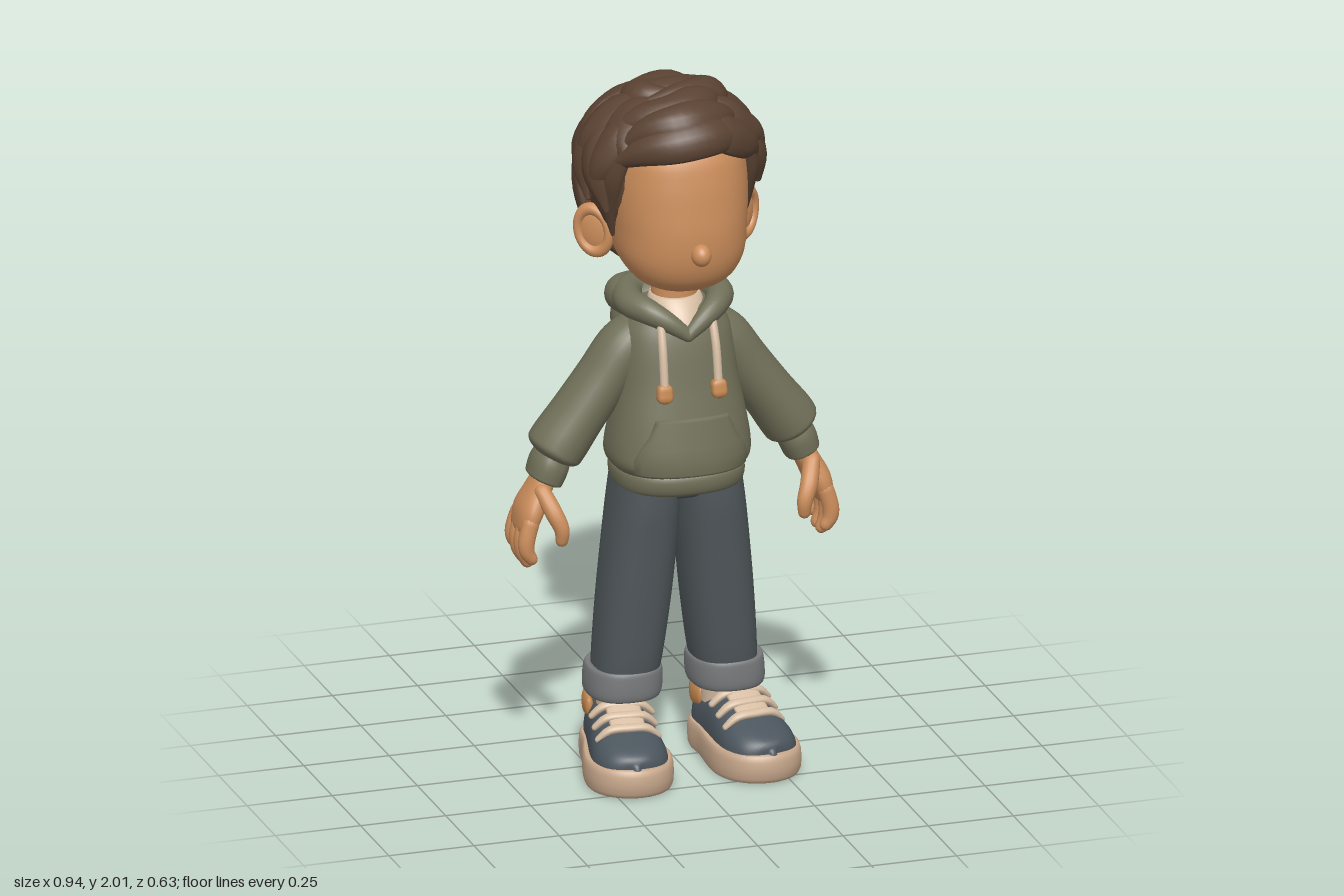
import * as THREE from 'three';

const mat = (name, color) => Object.assign(new THREE.MeshStandardMaterial({ color }), { name });
const M = {
  skin: mat('skin', 0xcc8e5c), hair: mat('hair brown', 0x5b4333), hoodie: mat('olive fleece', 0x717059),
  jeans: mat('denim', 0x50575b), turnUp: mat('turned denim', 0x77797a), shoe: mat('blue canvas', 0x4b555d),
  sole: mat('sole tan', 0xc8a88c), cream: mat('cream', 0xd6bda3), leather: mat('leather', 0xc48850),
};
const V = (x, y, z) => new THREE.Vector3(x, y, z);
const UP = V(0, 1, 0), FRONT = V(0, 0, 1);

// smooth interpolation of table rows, t in 0..1
function sample(rows, t) {
  const n = rows.length - 1, i = Math.min(Math.floor(t * n), n - 1), f = t * n - i;
  const r = k => rows[Math.max(0, Math.min(n, k))];
  return r(i).map((b, c) => {
    const a = r(i - 1)[c], d = r(i + 1)[c], e = r(i + 2)[c];
    return b + 0.5 * f * (d - a + f * (2 * a - 5 * b + 4 * d - e + f * (3 * (b - d) + e - a)));
  });
}

// closed smooth surface through rings of points, with capped ends
function skin(rings) {
  const n = rings[0].length, last = (rings.length - 1) * n, pos = [], idx = [];
  rings.forEach(r => r.forEach(p => pos.push(p.x, p.y, p.z)));
  for (const r of [rings[0], rings[rings.length - 1]]) {
    const c = r.reduce((s, p) => s.add(p), V(0, 0, 0)).divideScalar(n);
    pos.push(c.x, c.y, c.z);
  }
  for (let j = 0; j < n; j++) {
    const k = (j + 1) % n;
    for (let i = 0; i < last; i += n) idx.push(i + j, i + k, i + n + k, i + j, i + n + k, i + n + j);
    idx.push(last + n, k, j, last + n + 1, last + j, last + k);
  }
  const g = new THREE.BufferGeometry();
  g.setAttribute('position', new THREE.Float32BufferAttribute(pos, 3));
  g.setIndex(idx);
  g.computeVertexNormals();
  return g;
}
const sgnPow = (v, e) => Math.sign(v) * Math.abs(v) ** e;

// upright form; rows are [y, half width, front z, back z, centre x]
function loft(rows, p = 2.2, steps = 28, n = 40) {
  const rings = [];
  for (let i = 0; i <= steps; i++) {
    const [y, w, zf, zb, cx] = sample(rows, i / steps);
    rings.push(Array.from({ length: n }, (_, j) => {
      const a = j / n * Math.PI * 2;
      return V(cx + w * sgnPow(Math.sin(a), 2 / p), y, (zf + zb) / 2 + (zf - zb) / 2 * sgnPow(Math.cos(a), 2 / p));
    }));
  }
  return skin(rings);
}

// round-ended sweep; points are [x, y, z, side radius, ref radius]
function sweep(points, ref = FRONT, steps = 16, n = 14, p = 2) {
  const s = Array.from({ length: steps + 1 }, (_, i) => sample(points, i / steps));
  const P = s.map(r => V(r[0], r[1], r[2])), rings = [];
  const ring = (i, phi) => {
    const T = P[Math.min(i + 1, steps)].clone().sub(P[Math.max(i - 1, 0)]).normalize();
    const N = typeof ref === 'function' ? ref(P[i]) : ref;
    const A = N.clone().cross(T).normalize(), B = T.clone().cross(A);
    const ra = Math.max(s[i][3], 0.002), rb = Math.max(s[i][4], 0.002), c = Math.cos(phi);
    const o = P[i].clone().addScaledVector(T, Math.min(ra, rb) * Math.sin(phi));
    rings.push(Array.from({ length: n }, (_, j) => {
      const a = j / n * Math.PI * 2;
      return o.clone().addScaledVector(A, ra * c * sgnPow(Math.cos(a), 2 / p))
        .addScaledVector(B, rb * c * sgnPow(Math.sin(a), 2 / p));
    }));
  };
  for (const f of [-1.35, -0.9, -0.45]) ring(0, f);
  for (let i = 0; i <= steps; i++) ring(i, 0);
  for (const f of [0.45, 0.9, 1.35]) ring(steps, f);
  return skin(rings);
}
function mirror(geo) {
  const g = geo.clone().scale(-1, 1, 1), a = g.index.array;
  for (let i = 0; i < a.length; i += 3) [a[i], a[i + 1]] = [a[i + 1], a[i]];
  return g;
}
const flipX = pts => pts.map(([x, ...r]) => [-x, ...r]);
const acrossX = pts => [...pts, ...flipX(pts).reverse().slice(1)];
const ball = (x, y, z, a, b, c) => new THREE.SphereGeometry(1, 28, 20).scale(a, b, c).translate(x, y, z);
// change the height of every vertex by a rule
function reshapeY(g, rule) {
  const p = g.attributes.position;
  for (let i = 0; i < p.count; i++) p.setY(i, rule(p.getY(i)));
  g.computeVertexNormals();
  return g;
}

export function createModel() {
  const root = new THREE.Group();
  root.name = 'boy';
  const add = (name, geo, m) => {
    const mesh = new THREE.Mesh(geo, m);
    mesh.name = name;
    root.add(mesh);
  };
  const pair = (name, geo, m) => { add(name + 'Left', geo, m); add(name + 'Right', mirror(geo), m); };

  // head, nose, neck
  add('head', loft([[1.432, .05, .12, -.04, 0], [1.445, .1, .17, -.07, 0], [1.48, .145, .215, -.09, 0], [1.54, .178, .24, -.14, 0],
    [1.62, .188, .247, -.18, 0], [1.7, .196, .24, -.21, 0], [1.78, .196, .228, -.22, 0], [1.85, .185, .207, -.21, 0],
    [1.91, .14, .15, -.17, 0], [1.945, .05, .05, -.08, 0]], 2.3, 36, 48), M.skin);
  add('nose', ball(0, 1.578, .25, .028, .032, .032), M.skin);
  add('neck', new THREE.CylinderGeometry(.062, .068, .2, 28).translate(0, 1.4, .01), M.skin);

  // ears with a raised rim
  const placeEar = g => g.rotateZ(-.2).rotateY(.72).translate(.222, 1.58, -.033);
  pair('ear', placeEar(ball(0, 0, -.01, .054, .07, .022)), M.skin);
  pair('earRim', placeEar(new THREE.TorusGeometry(.044, .013, 12, 32).scale(1.05, 1.42, 1.3)), M.skin);

  // hair: a cap with overlapping tapered locks
  const C = V(0, 1.75, -.04), out = p => p.clone().sub(C), D = Math.PI / 180;
  const scalp = (az, el, lift) => [.235 * lift * Math.cos(el * D) * Math.sin(az * D),
    1.75 + (el > 0 ? .21 : .28) * lift * Math.sin(el * D), -.04 + .243 * lift * Math.cos(el * D) * Math.cos(az * D)];
  add('hairCap', reshapeY(ball(0, 0, 0, .235, .21, .243), y => y < 0 ? y * 1.33 : y).translate(0, 1.75, -.04), M.hair);
  let seed = 11;
  const rnd = () => (seed = seed * 16807 % 2147483647) / 2147483647 - .5;
  const taper = [.45, .95, 1, .72, .1];
  // rows are [count, first azimuth, last azimuth, top, bottom, half width, drift]
  [[6, 130, 230, -15, -74, .056, 8], [8, 106, 254, 15, -48, .062, 14], [10, 78, 282, 45, -18, .066, 20],
    [8, 54, 306, 74, 14, .074, 34]].forEach(([count, a0, a1, e0, e1, w, drift], row) => {
    for (let i = 0; i < count; i++) {
      const az = a0 + (a1 - a0) * i / (count - 1) + rnd() * 12, dE = rnd() * 20, dA = drift * (1 + 2 * rnd()), flick = .07 + .04 * rnd();
      add('hairLock' + row + '_' + i, sweep(taper.map((k, j) => {
        const t = j / 4;
        return [...scalp(az + dA * (t * t - .5), e0 + (e1 + dE - e0) * t, 1 + flick * t), w * k, .032 * Math.sqrt(k)];
      }), out, 14, 14, 1.6), M.hair);
    }
  });
  // swept fringe and crown
  [[[.15, 1.87, .13], [.06, 1.905, .185], [-.05, 1.897, .193], [-.14, 1.865, .145], [-.21, 1.8, .07]],
    [[.15, 1.91, .06], [.07, 1.94, .13], [-.03, 1.945, .162], [-.12, 1.915, .125], [-.2, 1.83, .06]],
    [[.13, 1.94, -.02], [.06, 1.965, .06], [-.03, 1.955, .1], [-.13, 1.925, .06], [-.225, 1.83, -.02]],
    [[.12, 1.94, -.06], [.05, 1.955, -.07], [-.02, 1.955, -.07], [-.08, 1.94, -.1], [-.13, 1.9, -.16]],
    [[.03, 1.945, -.17], [.12, 1.94, -.09], [.1, 1.965, -.01], [0, 1.97, .02], [-.13, 1.93, -.01]],
    [[.12, 1.91, -.17], [.03, 1.945, -.16], [-.07, 1.95, -.1], [-.06, 1.965, -.03], [.04, 1.965, .01]],
    [[.02, 1.94, .13], [.08, 1.905, .165], [.14, 1.87, .135], [.19, 1.83, .09], [.215, 1.77, .06]],
    [[.06, 1.955, .03], [.13, 1.925, .06], [.18, 1.88, .05], [.225, 1.84, .03], [.25, 1.77, .03]],
    [[-.1, 1.92, .02], [-.16, 1.89, .05], [-.2, 1.84, .05], [-.23, 1.78, .04], [-.24, 1.7, .02]],
  ].forEach((path, i) => add('fringeLock' + i,
    sweep(path.map((q, j) => [...q, .058 * taper[j], .036 * Math.sqrt(taper[j])]), out, 18, 16, 1.75), M.hair));
  pair('sideburn', sweep([[.17, 1.85, .11, .02, .02], [.202, 1.77, .08, .035, .022], [.203, 1.68, .05, .03, .016],
    [.19, 1.59, .04, .006, .006]], out), M.hair);

  // hoodie body, hem and front pocket
  const torso = [[.885, .17, .185, -.13, 0], [.92, .2, .21, -.14, 0], [.97, .203, .2, -.125, 0], [1.05, .19, .185, -.105, 0],
    [1.15, .172, .163, -.1, 0], [1.25, .163, .143, -.1, 0], [1.31, .15, .125, -.1, 0], [1.36, .11, .1, -.09, 0], [1.38, .06, .06, -.06, 0]];
  add('hoodieBody', loft(torso, 2.4), M.hoodie);
  add('hoodieHem', loft([[.842, .165, .17, -.12, 0], [.845, .18, .192, -.137, 0], [.87, .187, .202, -.145, 0],
    [.897, .185, .2, -.142, 0], [.905, .17, .185, -.13, 0]], 2.4, 14, 48), M.hoodie);
  const frontZ = (x, y) => {
    const i = Math.max(0, torso.findIndex(r => r[0] > y) - 1), a = torso[i], b = torso[i + 1], f = (y - a[0]) / (b[0] - a[0]);
    const [w, zf, zb] = [1, 2, 3].map(k => a[k] + (b[k] - a[k]) * f);
    return (zf + zb) / 2 + (zf - zb) / 2 * (1 - Math.min(1, Math.abs(x) / w) ** 2.4) ** (1 / 2.4);
  };
  add('pocket', skin([[.905, .15], [.912, .162], [.95, .165], [.985, .148], [1.02, .125], [1.06, .108], [1.068, .104]].map(([y, w]) => {
    const us = Array.from({ length: 21 }, (_, i) => (i / 10 - 1) * w);
    return [...us.map(x => V(x, y, frontZ(x, y) + .012)), ...us.reverse().map(x => V(x, y, frontZ(x, y) - .015))];
  })), M.hoodie);

  // hood lying on the back, and the collar
  add('hoodBag', ball(0, 1.285, -.098, .148, .128, .108), M.hoodie);
  const fold = (name, pts, steps) => add(name, sweep(acrossX(pts), UP, steps, 18), M.hoodie);
  fold('hoodFold', [[.13, 1.365, 0, .035, .04], [.128, 1.36, -.09, .042, .048], [.078, 1.345, -.145, .046, .055], [0, 1.335, -.165, .048, .058]], 36);
  fold('hoodCollar', [[0, 1.298, .135, .018, .018], [.05, 1.335, .118, .027, .028], [.1, 1.362, .08, .035, .036], [.13, 1.37, .01, .042, .04],
    [.11, 1.375, -.07, .042, .04], [.06, 1.375, -.11, .042, .04], [0, 1.375, -.125, .042, .04]], 60);
  add('shirtNeck', loft([[1.29, .025, .142, -.04, 0], [1.33, .072, .128, -.05, 0], [1.37, .078, .1, -.06, 0], [1.39, .07, .08, -.055, 0]], 2, 12), M.cream);
  pair('drawstring', sweep([[.075, 1.345, .115, .012, .012], [.078, 1.265, .146, .012, .012], [.079, 1.16, .165, .012, .012]]), M.cream);
  pair('drawstringTip', sweep([[.079, 1.158, .165, .022, .016], [.08, 1.133, .169, .023, .017]], FRONT, 4, 16, 3.5), M.leather);

  // sleeves bunched over the cuffs
  pair('sleeve', sweep([[.11, 1.28, 0, .06, .075], [.15, 1.235, 0, .073, .083], [.207, 1.15, -.002, .075, .086], [.279, 1.05, -.004, .077, .09],
    [.335, .972, -.005, .082, .092], [.353, .945, -.005, .074, .085], [.362, .93, -.005, .03, .04]], FRONT, 30, 24), M.hoodie);
  pair('sleeveCuff', sweep([[.35, .94, -.005, .05, .064], [.362, .915, -.005, .054, .07], [.374, .882, -.005, .052, .069],
    [.38, .868, -.005, .046, .062], [.381, .866, -.005, .01, .02]], FRONT, 16, 24, 2.3), M.hoodie);

  // hands
  pair('palm', sweep([[.372, .885, -.005, .032, .042], [.395, .84, -.005, .034, .055], [.422, .785, -.005, .036, .072], [.436, .74, -.006, .028, .072]],
    FRONT, 16, 20, 2.3), M.skin);
  [[.05, .655], [.012, .635], [-.028, .637], [-.066, .66]].forEach(([z, y], i) => pair('finger' + i,
    sweep([[.432, .76, z * .95, .024, .022], [.446, .71, z, .024, .023], [.445, (y + .7) / 2, z, .022, .022], [.432, y, z, .018, .019]]), M.skin));
  pair('thumb', sweep([[.395, .845, .035, .024, .027], [.375, .795, .076, .025, .025], [.357, .75, .092, .022, .022], [.356, .715, .09, .018, .018]]), M.skin);

  // jeans
  add('jeansSeat', loft([[.798, .08, .06, -.06, 0], [.81, .14, .12, -.095, 0], [.835, .175, .14, -.112, 0], [.89, .178, .16, -.115, 0]], 2.5), M.jeans);
  pair('jeansLeg', loft([[.24, .085, .1, -.09, .15], [.32, .094, .117, -.1, .14], [.5, .1, .132, -.104, .122], [.68, .099, .146, -.108, .105],
    [.78, .095, .154, -.112, .097], [.86, .09, .155, -.112, .091]], 2.4), M.jeans);
  pair('turnUp', loft([[.222, .088, .1, -.09, .152], [.216, .1, .114, -.106, .152], [.235, .107, .121, -.114, .151], [.275, .107, .121, -.114, .149],
    [.3, .102, .117, -.109, .148], [.298, .088, .1, -.09, .148]], 2.4, 20), M.turnUp);
  pair('sock', new THREE.CylinderGeometry(.07, .064, .1, 28).translate(.153, .2, -.012), M.cream);

  // shoes, toes turned slightly outward
  const shoe = (name, g, m) => pair(name, g.rotateY(.12).translate(.165, 0, 0), m);
  const half = [[0, .31], [.062, .293], [.105, .25], [.125, .18], [.119, .1], [.1, 0], [.092, -.08], [.057, -.13], [0, -.145]];
  const outline = acrossX(half).slice(0, -1).map(([x, z]) => V(x, 0, z));
  const rim = new THREE.CatmullRomCurve3(outline, true).getPoints(56).slice(0, -1);
  shoe('sole', skin([[0, .9], [.003, .95], [.015, .985], [.04, 1], [.065, .99], [.08, .965], [.084, .92]].map(([y, k]) =>
    rim.map(p => V(p.x * k, y, .08 + (p.z - .08) * k)))), M.sole);
  const upper = sweep([[0, .06, -.132, .012, .09], [0, .06, -.118, .052, .122], [0, .06, -.075, .08, .138], [0, .06, 0, .088, .132],
    [0, .06, .07, .097, .13], [0, .06, .14, .106, .109], [0, .06, .2, .107, .088], [0, .06, .25, .09, .07],
    [0, .06, .278, .056, .054], [0, .06, .287, .014, .036]], UP, 36, 36, 2.6);
  shoe('shoeUpper', reshapeY(upper, y => Math.max(y, .05)), M.shoe);
  shoe('tongue', sweep([[0, .212, .05, .047, .014], [0, .194, .09, .05, .012], [0, .165, .155, .05, .01]], UP), M.cream);
  [[.202, .075], [.184, .12], [.164, .165]].forEach(([y, z], i) => shoe('lace' + i,
    sweep(acrossX([[-.085, y - .032, z - .008, .014, .009], [-.052, y - .004, z, .016, .012], [0, y, z + .003, .016, .012]]), UP), M.cream));
  shoe('heelPatch', sweep(acrossX([[.071, .158, -.035, .012, .028], [.068, .162, -.08, .016, .042], [.045, .166, -.113, .016, .044],
    [0, .166, -.123, .016, .044]]), UP, 24), M.leather);
  return root;
}
